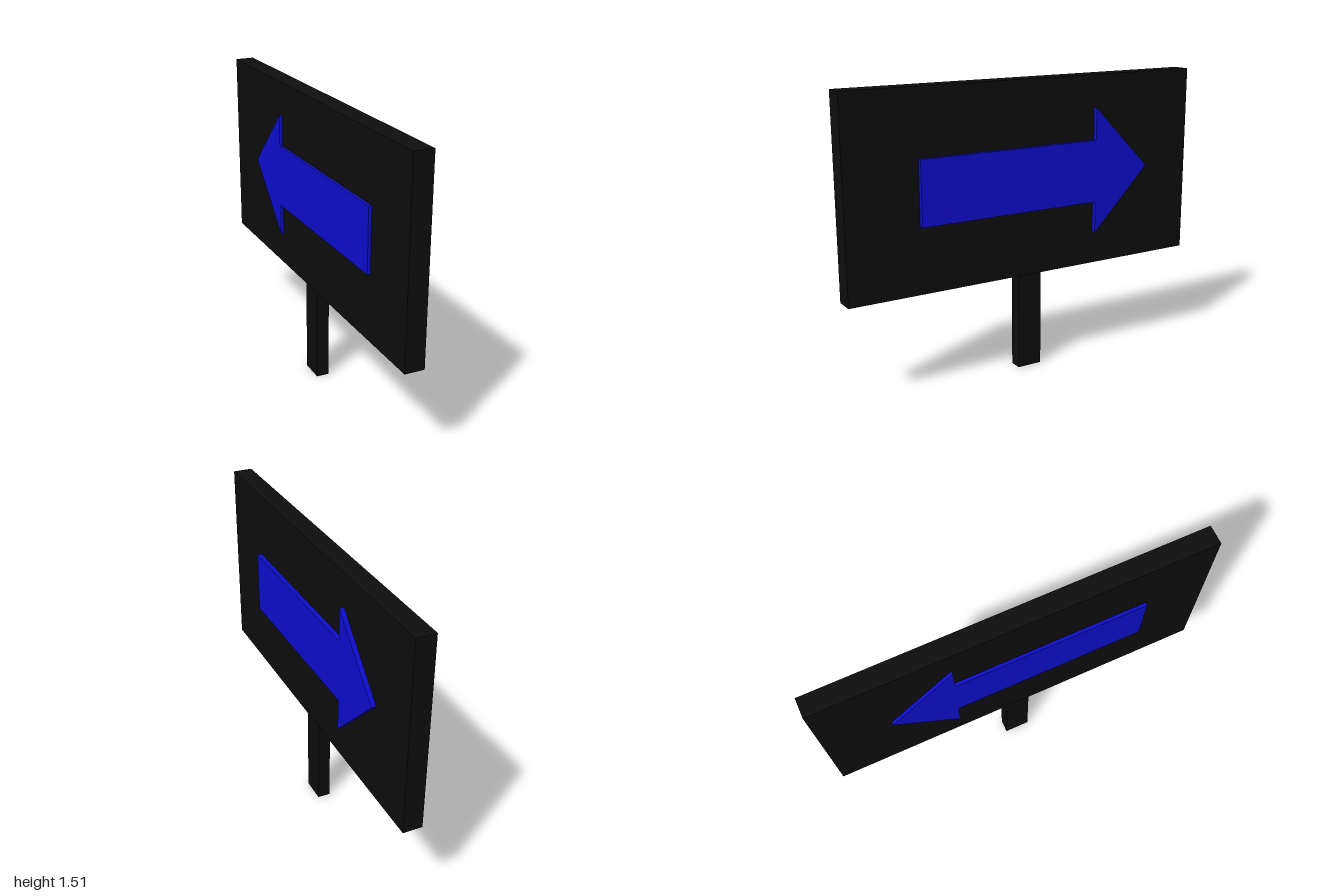
import * as THREE from 'three';

export function createModel() {
  const group = new THREE.Group();
  const black = new THREE.MeshStandardMaterial({ color: 0x0d0d0d });
  const blue = new THREE.MeshStandardMaterial({ color: 0x0d0dcc });

  function add(name, geometry, material) {
    const mesh = new THREE.Mesh(geometry, material);
    mesh.name = name;
    group.add(mesh);
    return mesh;
  }

  // Board and post
  add('board', new THREE.BoxGeometry(0.1, 1, 2), black).position.set(-0.005, 1.01, 0);
  add('post', new THREE.BoxGeometry(0.067, 0.51, 0.134), black).position.set(-0.007, 0.255, 0);

  // Raised arrow pointing to -z, spanning x0 to x1
  function addArrow(name, x0, x1, tail, neck, tip) {
    const shaft = 0.163, head = 0.331;
    const shape = new THREE.Shape([
      [-tail, -shaft], [-neck, -shaft], [-neck, -head], [-tip, 0],
      [-neck, head], [-neck, shaft], [-tail, shaft],
    ].map(([u, v]) => new THREE.Vector2(u, v)));
    const geometry = new THREE.ExtrudeGeometry(shape, { depth: x1 - x0, bevelEnabled: false });
    geometry.rotateY(Math.PI / 2); // drawing plane becomes the board face
    add(name, geometry, blue).position.set(x0, 1.011, 0);
  }
  addArrow('leftArrow', 0.03, 0.069, 0.623, -0.38, -0.711);
  addArrow('rightArrow', -0.071, -0.04, 0.668, -0.333, -0.664);

  return group;
}
